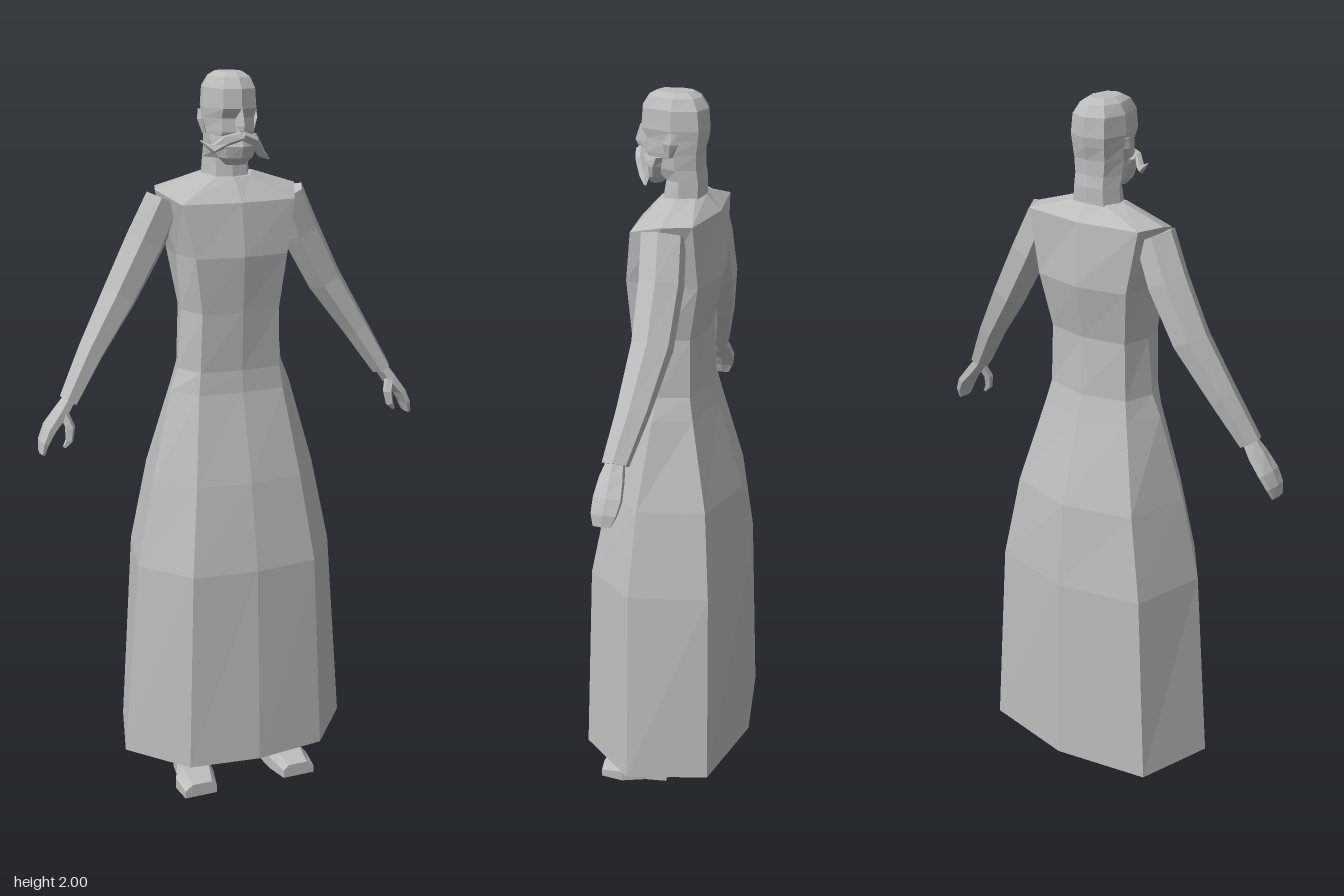
import * as THREE from 'three';

const stone = new THREE.MeshStandardMaterial({ color: 0xbcbcbc, side: THREE.DoubleSide });
stone.name = 'plain grey';

// Faceted skin over a list of rings (each ring the same number of [x, y, z] points)
function loft(rings, capStart = true, capEnd = true) {
  const n = rings[0].length, tris = [];
  for (let r = 0; r < rings.length - 1; r++) {
    for (let i = 0; i < n; i++) {
      const j = (i + 1) % n;
      const a = rings[r][i], b = rings[r][j], c = rings[r + 1][j], d = rings[r + 1][i];
      tris.push([a, b, c], [a, c, d]);
    }
  }
  const first = rings[0], last = rings[rings.length - 1];
  for (let i = 1; i < n - 1; i++) {
    if (capStart) tris.push([first[0], first[i + 1], first[i]]);
    if (capEnd) tris.push([last[0], last[i], last[i + 1]]);
  }
  // turn the skin outwards if its signed volume is negative
  let volume = 0;
  const v = (p) => new THREE.Vector3(...p);
  for (const [a, b, c] of tris) volume += v(a).dot(v(b).cross(v(c)));
  if (volume < 0) for (const t of tris) t.reverse();
  const g = new THREE.BufferGeometry();
  g.setAttribute('position', new THREE.Float32BufferAttribute(tris.flat(2), 3));
  g.computeVertexNormals();
  return g;
}

// Mirrored eight-point section: front centre, front corner, side, back corner, back centre
function section([y, fz, cx, cz, sx, sz, bx, bz, backZ], lift = 0) {
  return [
    [0, y, fz], [cx, y, cz], [sx, y + lift, sz], [bx, y + lift, bz], [0, y + lift, backZ],
    [-bx, y + lift, bz], [-sx, y + lift, sz], [-cx, y, cz],
  ];
}

// Tapered limb: stations of [x, y, z, half width, half depth]; sections cross the path in the xy plane
function limb(stations, sides = 6, turn = 0) {
  return loft(stations.map(([x, y, z, w, d], k) => {
    const p = stations[Math.max(k - 1, 0)], q = stations[Math.min(k + 1, stations.length - 1)];
    const len = Math.hypot(q[0] - p[0], q[1] - p[1]) || 1;
    const nx = -(q[1] - p[1]) / len, ny = (q[0] - p[0]) / len;
    return Array.from({ length: sides }, (_, i) => {
      const a = turn + (i / sides) * Math.PI * 2;
      return [x + nx * w * Math.cos(a), y + ny * w * Math.cos(a), z + d * Math.sin(a)];
    });
  }));
}

export function createModel() {
  const model = new THREE.Group();
  model.name = 'robedFigure';
  const add = (name, geometry, parent = model) => {
    const mesh = new THREE.Mesh(geometry, stone);
    mesh.name = name;
    parent.add(mesh);
    return mesh;
  };

  // Robe: open hem, flared skirt, waist, chest and sloping shoulders
  const robe = [
    [0.12, 0.23, 0.2, 0.205, 0.335, 0.04, 0.27, -0.18, -0.23],
    [0.68, 0.208, 0.18, 0.188, 0.288, 0.045, 0.238, -0.168, -0.22],
    [0.92, 0.163, 0.152, 0.145, 0.238, 0.035, 0.195, -0.145, -0.195],
    [1.16, 0.1, 0.122, 0.088, 0.175, 0.01, 0.138, -0.092, -0.125],
    [1.22, 0.094, 0.115, 0.082, 0.152, 0.005, 0.125, -0.08, -0.11],
    [1.38, 0.1, 0.11, 0.085, 0.14, 0, 0.12, -0.078, -0.1],
    [1.53, 0.112, 0.13, 0.092, 0.15, -0.005, 0.142, -0.105, -0.135],
  ].map((row) => section(row));
  robe.push(section([1.67, 0.09, 0.16, 0.07, 0.2, -0.025, 0.175, -0.1, -0.125], 0.03));
  robe.push(section([1.73, 0.035, 0.05, 0.025, 0.075, -0.025, 0.05, -0.07, -0.085], 0.01));
  add('robe', loft(robe, false, true));

  // Neck and head in one skin
  const head = [
    [1.72, 0.03, 0.045, 0.02, 0.07, -0.03, 0.05, -0.075, -0.085],
    [1.78, 0.02, 0.042, 0.01, 0.065, -0.03, 0.045, -0.075, -0.085],
    [1.81, 0.06, 0.042, 0.045, 0.066, -0.02, 0.045, -0.07, -0.08],
    [1.85, 0.078, 0.045, 0.062, 0.068, -0.015, 0.048, -0.07, -0.08],
    [1.885, 0.076, 0.045, 0.06, 0.07, -0.01, 0.05, -0.075, -0.09],
    [1.91, 0.09, 0.046, 0.074, 0.072, -0.01, 0.052, -0.078, -0.094],
    [1.96, 0.086, 0.044, 0.07, 0.068, -0.01, 0.05, -0.073, -0.09],
    [1.988, 0.068, 0.036, 0.055, 0.054, -0.01, 0.038, -0.058, -0.072],
    [2.0, 0.045, 0.024, 0.036, 0.034, -0.01, 0.024, -0.04, -0.05],
  ];
  add('head', loft(head.map((row) => section(row))));

  // Wedge nose
  add('nose', loft([
    [[-0.014, 1.85, 0.07], [0.014, 1.85, 0.07], [0, 1.855, 0.1]],
    [[-0.014, 1.865, 0.07], [0.014, 1.865, 0.07], [0, 1.868, 0.107]],
    [[-0.007, 1.91, 0.075], [0.007, 1.91, 0.075], [0, 1.91, 0.093]],
  ]));

  // Beard hanging from the chin
  add('beard', loft([
    [1.765, 0.062, 0.02, 0.058, 0.028, 0.045, 0.018, 0.035, 0.03],
    [1.785, 0.088, 0.035, 0.075, 0.05, 0.045, 0.035, 0.02, 0.015],
    [1.815, 0.098, 0.042, 0.08, 0.064, 0.04, 0.045, 0.01, 0.005],
    [1.84, 0.086, 0.04, 0.07, 0.068, 0.03, 0.045, 0, 0],
  ].map((row) => section(row))));

  // Windswept moustache, one tip higher than the other
  add('moustacheLeft', limb([
    [0, 1.842, 0.09, 0.013, 0.016], [0.04, 1.825, 0.078, 0.016, 0.016],
    [0.068, 1.79, 0.06, 0.012, 0.014], [0.093, 1.775, 0.05, 0.002, 0.003],
  ], 5));
  add('moustacheRight', limb([
    [0, 1.842, 0.09, 0.013, 0.016], [-0.04, 1.83, 0.078, 0.016, 0.016],
    [-0.07, 1.808, 0.06, 0.012, 0.014], [-0.098, 1.83, 0.045, 0.002, 0.003],
  ], 5));

  for (const side of [1, -1]) {
    const name = side > 0 ? 'Left' : 'Right';
    const flip = (stations) => stations.map(([x, ...rest]) => [x * side, ...rest]);

    // Ear
    add('ear' + name, limb(flip([
      [0.068, 1.845, -0.005, 0.006, 0.01], [0.077, 1.88, -0.012, 0.008, 0.02],
      [0.078, 1.905, -0.016, 0.003, 0.012],
    ]), 4));

    // Sleeve
    add('sleeve' + name, limb(flip([
      [0.175, 1.675, -0.025, 0.052, 0.06], [0.225, 1.565, -0.035, 0.056, 0.06],
      [0.3, 1.425, -0.035, 0.05, 0.056], [0.39, 1.285, -0.015, 0.037, 0.046],
      [0.462, 1.165, 0.01, 0.027, 0.037],
    ]), 6));

    // Hand with slightly curled fingers and a thumb
    add('hand' + name, limb(flip([
      [0.455, 1.175, 0.01, 0.018, 0.024], [0.485, 1.135, 0.012, 0.02, 0.036],
      [0.518, 1.095, 0.012, 0.016, 0.042], [0.536, 1.06, 0.016, 0.012, 0.038],
      [0.543, 1.03, 0.02, 0.006, 0.026],
    ]), 6));
    add('thumb' + name, limb(flip([
      [0.482, 1.135, 0.03, 0.014, 0.014], [0.47, 1.1, 0.045, 0.014, 0.014],
      [0.475, 1.065, 0.05, 0.011, 0.011], [0.488, 1.048, 0.048, 0.005, 0.006],
    ]), 5));

    // Leg with calf and knee, mostly under the robe
    add('leg' + name, limb(flip([
      [0.13, 0.05, 0.004, 0.04, 0.031], [0.13, 0.15, 0.004, 0.042, 0.034],
      [0.125, 0.33, -0.01, 0.056, 0.058], [0.115, 0.52, 0.005, 0.052, 0.055],
      [0.1, 0.8, 0.005, 0.07, 0.075], [0.09, 1.05, 0, 0.075, 0.075],
    ]), 8, Math.PI / 8));

    // Shoe turned a little outwards, cross-sections from heel to toe
    const shoe = [
      [-0.025, 0.09, 0.168, 0.07], [0.035, 0.087, 0.178, 0.07],
      [0.1, 0.09, 0.205, 0.058], [0.165, 0.105, 0.2, 0.038],
    ].map(([z, x0, x1, h]) => [
      [x0, 0, z], [x1, 0, z], [x1, h * 0.55, z], [x1 - 0.022, h, z], [x0 + 0.015, h, z], [x0, h * 0.6, z],
    ]);
    add('shoe' + name, loft(shoe.map(flip)));
  }
  return model;
}
